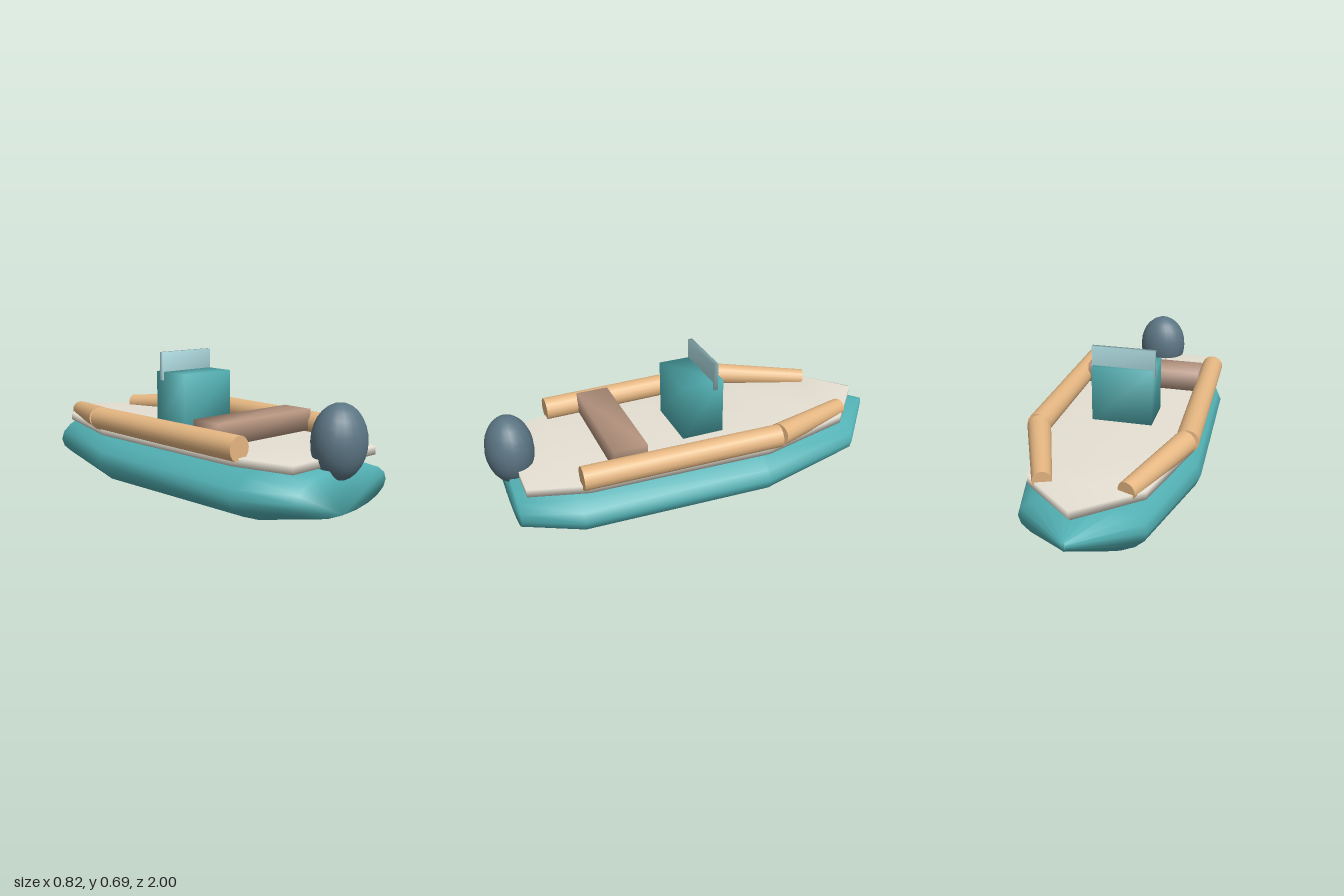
import * as THREE from 'three';
import { mergeVertices } from 'three/addons/utils/BufferGeometryUtils.js';

const material = (color) => new THREE.MeshStandardMaterial({ color });
const teal = material(0x52b0b3);
const cream = material(0xe6e0d3);
const tan = material(0xe6b782);
const brown = material(0xb5947f);
const slate = material(0x5b7583);
const glass = material(0xa9d5da);

// Skins closed rings that run from stern (+z) to bow (-z), with both ends capped
function loft(rings) {
  const n = rings[0].length;
  const index = [];
  for (let i = 0; i < rings.length - 1; i++) {
    for (let k = 0; k < n; k++) {
      const a = i * n + k, b = i * n + (k + 1) % n;
      index.push(a, a + n, b, b, a + n, b + n);
    }
  }
  const last = (rings.length - 1) * n;
  for (let k = 1; k < n - 1; k++) {
    index.push(0, k, k + 1, last, last + k + 1, last + k);
  }
  const geometry = new THREE.BufferGeometry();
  geometry.setAttribute('position', new THREE.Float32BufferAttribute(rings.flat(2), 3));
  geometry.setIndex(index);
  geometry.computeVertexNormals();
  return geometry;
}

// Box with normals shared across its corners
function softBox(w, h, d) {
  const box = new THREE.BoxGeometry(w, h, d);
  box.deleteAttribute('normal');
  box.deleteAttribute('uv');
  const geometry = mergeVertices(box);
  geometry.computeVertexNormals();
  return geometry;
}

// Straight round bar between two points
function bar(from, to, r0, r1) {
  const a = new THREE.Vector3(...from), b = new THREE.Vector3(...to);
  const dir = b.clone().sub(a);
  const geometry = new THREE.CylinderGeometry(r1, r0, dir.length(), 16);
  geometry.applyQuaternion(new THREE.Quaternion().setFromUnitVectors(
    new THREE.Vector3(0, 1, 0), dir.normalize()));
  const mid = a.add(b).multiplyScalar(0.5);
  return geometry.translate(mid.x, mid.y, mid.z);
}

export function createModel() {
  const group = new THREE.Group();
  const add = (name, geometry, mat, x = 0, y = 0, z = 0) => {
    const mesh = new THREE.Mesh(geometry, mat);
    mesh.name = name;
    mesh.position.set(x, y, z);
    group.add(mesh);
    return mesh;
  };

  // Hull: elliptical stations [z, half width, bottom, top]
  const stations = [
    [0.92, 0.295, 0.085, 0.292],
    [0.66, 0.385, 0.025, 0.305],
    [-0.23, 0.412, 0.003, 0.325],
    [-0.77, 0.28, 0.05, 0.305],
    [-1.0, 0.01, 0.2, 0.242],
  ];
  add('hull', loft(stations.map(([z, w, lo, hi]) =>
    Array.from({ length: 20 }, (_, k) => {
      const a = k / 20 * Math.PI * 2;
      return [w * Math.sin(a), (lo + hi) / 2 - (hi - lo) / 2 * Math.cos(a), z];
    }))), teal);

  // Deck: flat slab following the hull outline [z, half width]
  const outline = [[0.88, 0.268], [0.62, 0.345], [-0.24, 0.377], [-0.7, 0.257], [-0.917, 0.006]];
  add('deck', loft(outline.map(([z, w]) =>
    [[-w, 0.293, z], [w, 0.293, z], [w, 0.33, z], [-w, 0.33, z]])), cream);

  // Side tubes and angled bow tubes
  for (const [side, s] of [['left', 1], ['right', -1]]) {
    add(side + 'SideTube',
      bar([s * 0.33, 0.367, 0.65], [s * 0.352, 0.367, -0.295], 0.055, 0.055), tan);
    add(side + 'BowTube',
      bar([s * 0.346, 0.367, -0.3], [s * 0.18, 0.337, -0.73], 0.055, 0.043), tan);
  }

  // Steering console with windscreen
  add('console', softBox(0.294, 0.275, 0.205), teal, 0, 0.4625, 0.002);
  add('windscreen', softBox(0.306, 0.135, 0.022), glass, 0, 0.627, -0.059);

  // Cross bench
  add('bench', softBox(0.59, 0.1, 0.158), brown, 0, 0.39, 0.413);

  // Outboard motor cowl
  add('outboardMotor', new THREE.SphereGeometry(1, 20, 14).scale(0.128, 0.162, 0.11),
    slate, 0, 0.388, 0.89);

  return group;
}
